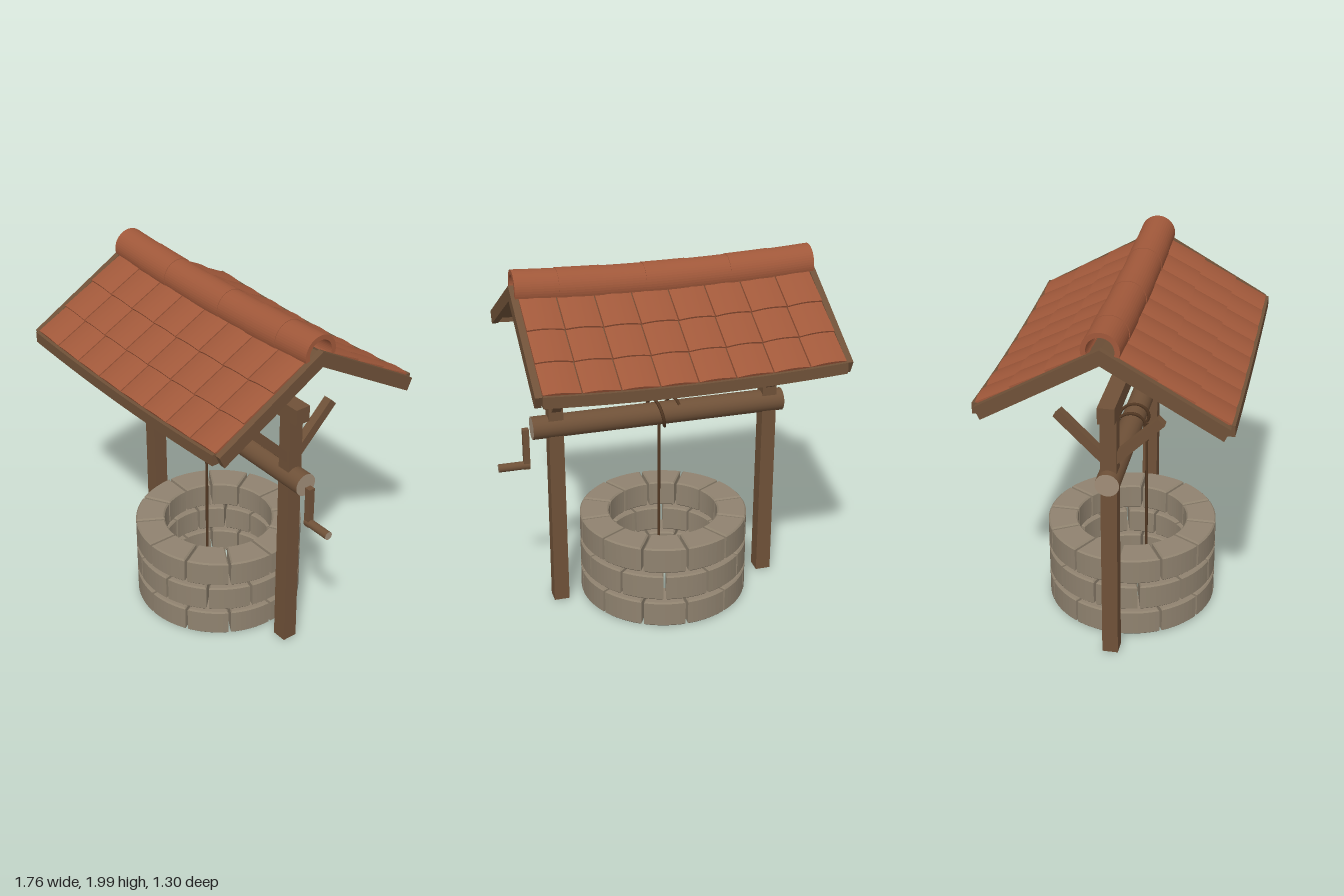
import * as THREE from 'three';

export function createModel() {
  const group = new THREE.Group();
  const mat = (name, color) => {
    const m = new THREE.MeshStandardMaterial({ color });
    m.name = name;
    return m;
  };
  const wood = mat('wood', 0x6f5138);
  const paleWood = mat('cutWood', 0xa08d78);
  const stone = mat('stone', 0x8f826f);
  const clay = mat('clay', 0xa0583a);
  const ropeBrown = mat('rope', 0x523823);

  const CX = -0.05;
  const add = (name, geo, material, x = 0, y = 0, z = 0) => {
    const mesh = new THREE.Mesh(geo, material);
    mesh.name = name;
    mesh.position.set(x, y, z);
    group.add(mesh);
    return mesh;
  };
  // The old roof dips towards the middle of its length
  const dip = (x) => -0.027 * (1 - ((x - CX) / 0.83) ** 2);
  const sag = (geo) => {
    const p = geo.attributes.position;
    for (let i = 0; i < p.count; i++) p.setY(i, p.getY(i) + dip(p.getX(i)));
    geo.computeVertexNormals();
    return geo;
  };

  // Stone ring: three courses of twelve bevelled blocks, middle course staggered
  const step = Math.PI / 6;
  const b = 0.008;
  const block = new THREE.Shape();
  block.absarc(0, 0, 0.475, 0.015, step - 0.015, false);
  block.absarc(0, 0, 0.31, step - 0.022, 0.022, true);
  block.closePath();
  const blockGeo = new THREE.ExtrudeGeometry(block, {
    depth: 0.15 - 2 * b, bevelThickness: b, bevelSize: b, bevelOffset: -b,
    bevelSegments: 1, curveSegments: 4,
  });
  blockGeo.rotateX(-Math.PI / 2);
  for (let row = 0; row < 3; row++) {
    for (let i = 0; i < 12; i++) {
      const m = add('stoneBlock', blockGeo, stone, CX, 0.01 + b + row * 0.17, 0);
      m.rotation.y = (i + (row % 2) / 2) * step;
    }
  }

  // Posts with diagonal braces
  for (const x of [-0.66, 0.56]) {
    const post = new THREE.BoxGeometry(0.086, 1.43, 0.086);
    const p = post.attributes.position;
    for (let i = 0; i < p.count; i++) if (p.getY(i) > 0) p.setX(i, p.getX(i) * 0.92);
    add('post', post, wood, x + 0.002, 0.735, 0);
    for (const s of [-1, 1]) {
      const brace = add('brace', new THREE.BoxGeometry(0.05, 0.35, 0.05), wood, x, 1.33, s * 0.142);
      brace.rotation.x = s * Math.PI / 4;
    }
  }
  add('topBeam', new THREE.BoxGeometry(1.4, 0.09, 0.088), wood, CX, 1.495, 0);

  // Winding drum and crank
  const rod = (name, r, x0, x1, y) => {
    const g = new THREE.CylinderGeometry(r, r, x1 - x0, 20);
    g.rotateZ(-Math.PI / 2);
    add(name, g, [wood, paleWood, paleWood], (x0 + x1) / 2, y, 0);
  };
  rod('drum', 0.064, -0.74, 0.69, 1.098);
  rod('crankHandle', 0.023, 0.708, 0.88, 0.882);
  add('crankArm', new THREE.BoxGeometry(0.034, 0.235, 0.036), wood, 0.724, 0.98, 0);

  // Rope: coil round the drum and the hanging length
  const coil = [];
  for (let i = 0; i <= 36; i++) {
    const a = -0.8 + (i / 36) * 9.2;
    coil.push(new THREE.Vector3(-0.112 + (a / (2 * Math.PI)) * 0.112,
      1.102 + 0.079 * Math.cos(a), 0.079 * Math.sin(a)));
  }
  add('ropeCoil', new THREE.TubeGeometry(new THREE.CatmullRomCurve3(coil), 72, 0.009, 6), ropeBrown);
  add('hangingRope', new THREE.CylinderGeometry(0.008, 0.008, 1.0, 8), ropeBrown, CX, 0.6, 0.082);

  // Gable-shaped section swept along the roof
  const SLOPE = 0.572;
  const gable = (half, top, bottom, x0, x1, steps) => {
    const inner = half - 0.03;
    const s = new THREE.Shape([
      [0, top], [-half, top - SLOPE * half], [-inner, bottom - SLOPE * inner],
      [0, bottom], [inner, bottom - SLOPE * inner], [half, top - SLOPE * half],
    ].map(([u, v]) => new THREE.Vector2(u, v)));
    const g = new THREE.ExtrudeGeometry(s, { depth: x1 - x0, steps, bevelEnabled: false });
    g.rotateY(Math.PI / 2);
    g.translate(x0, 0, 0);
    return g;
  };
  add('roofBoards', sag(gable(0.6, 1.905, 1.86, -0.845, 0.745, 14)), wood);
  add('rightBargeboard', gable(0.63, 1.915, 1.832, -0.88, -0.845, 1), wood);
  add('leftBargeboard', gable(0.63, 1.915, 1.832, 0.745, 0.78, 1), wood);
  for (const s of [-1, 1]) {
    const eave = new THREE.BoxGeometry(1.59, 0.06, 0.07, 14, 1, 1);
    eave.translate(CX, 1.534, s * 0.613);
    add('eaveBoard', sag(eave), wood);
  }

  // Arched roof tiles: three overlapping rows of eight on each slope
  const W = 0.1987;
  for (const s of [1, -1]) {
    for (const edge of [0.622, 0.448, 0.268]) {
      for (let c = 0; c < 8; c++) {
        const g = new THREE.BoxGeometry(W - 0.007, 0.018, 0.235, 6, 1, 1);
        const p = g.attributes.position;
        for (let i = 0; i < p.count; i++) {
          p.setY(i, p.getY(i) + 0.012 * (1 - (p.getX(i) / (W / 2)) ** 2));
        }
        g.translate(0, 0.008, -0.1175);
        g.rotateX(0.47);
        g.translate(0, 1.908 - SLOPE * edge, edge);
        if (s < 0) g.rotateY(Math.PI);
        g.translate(-0.845 + (c + 0.5) * W, 0, 0);
        add('roofTile', sag(g), clay);
      }
    }
  }

  // Ridge tiles: thick half pipes, each slightly overlapping the next
  const RW = 1.62 / 7;
  for (let i = 0; i < 7; i++) {
    const r = 0.096 + (i % 2) * 0.003;
    const arc = new THREE.Shape();
    arc.absarc(0, 0, r, -0.3, Math.PI + 0.3, false);
    arc.absarc(0, 0, r - 0.026, Math.PI + 0.3, -0.3, true);
    arc.closePath();
    const g = new THREE.ExtrudeGeometry(arc, {
      depth: RW + 0.004, steps: 2, bevelEnabled: false, curveSegments: 14,
    });
    g.rotateY(Math.PI / 2);
    g.translate(-0.862 + i * RW, 1.902, 0);
    add('ridgeTile', sag(g), clay);
  }

  return group;
}
